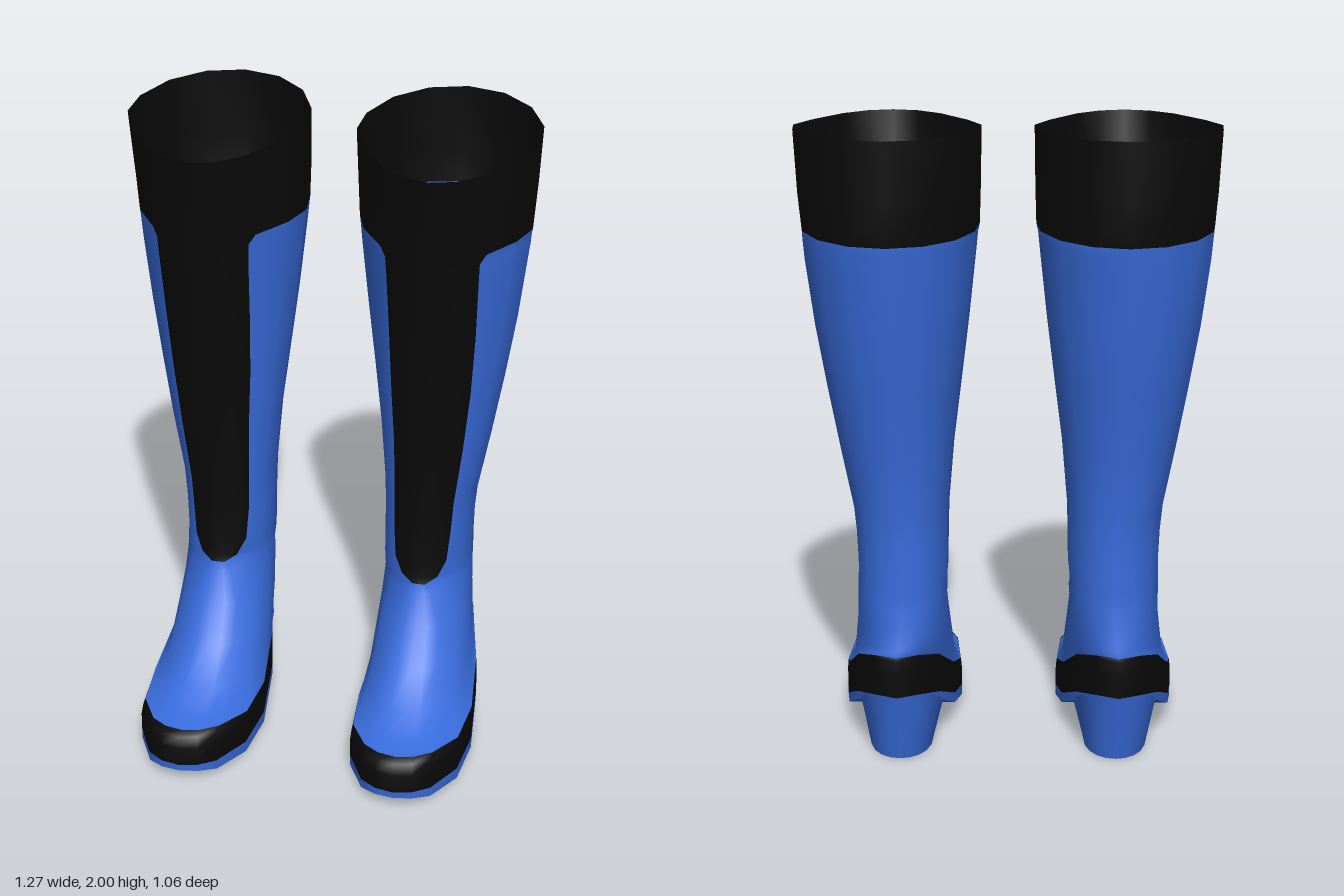
import * as THREE from 'three';

const blue = new THREE.MeshStandardMaterial({ color: 0x3a6ee0, side: THREE.DoubleSide });
blue.name = 'blue leather';
const black = new THREE.MeshStandardMaterial({ color: 0x0a0a0a, side: THREE.DoubleSide });
black.name = 'black trim';

const FRONT = 4, REST = 12; // columns across the front panel and around the rest

// Piecewise-linear height along the foot, points sorted by falling z
function curve(points) {
  return (z) => {
    if (z >= points[0][0]) return points[0][1];
    for (let i = 1; i < points.length; i++) {
      const [z0, y0] = points[i - 1], [z1, y1] = points[i];
      if (z >= z1) return y0 + (y1 - y0) * (z0 - z) / (z0 - z1);
    }
    return points[points.length - 1][1];
  };
}
const soleBottom = curve([[0.53, 0.04], [0.45, 0.018], [0.3, 0.008], [0.1, 0.006], [0.05, 0.025], [-0.14, 0.11], [-0.3, 0.2], [-0.39, 0.22]]);
const weltBottom = curve([[0.53, 0.062], [0.4, 0.05], [0.15, 0.042], [0, 0.08], [-0.15, 0.15], [-0.3, 0.22], [-0.39, 0.232]]);
const weltTop = curve([[0.48, 0.165], [0.42, 0.16], [0.3, 0.142], [0.15, 0.142], [0, 0.18], [-0.15, 0.27], [-0.29, 0.35], [-0.39, 0.362]]);

// One closed cross-section; a is the half angle of the front panel columns
function ring({ x0, x1, zf, zb, a = 0.5, p = 1, k = 0, flat = 1, y }, m) {
  const cx = m * (x0 + x1) / 2, rx = flat * (x1 - x0) / 2;
  const zc = (zf + zb) / 2, rz = (zf - zb) / 2, points = [];
  for (let i = 0; i < FRONT + REST; i++) {
    const u = i < FRONT ? -a + (2 * a * i) / FRONT
      : a + ((2 * Math.PI - 2 * a) * (i - FRONT)) / REST;
    const c = Math.cos(u);
    const z = zc + rz * (c > 0 ? Math.pow(c, p) : c);
    const widen = 1 + k * c * (c > 0 ? 1 : 0.4);
    points.push([cx + rx * Math.sin(u) * widen, y(z, c), z]);
  }
  return points;
}

// Skin rows of points; pick(row, column) chooses material 0 or 1
function loft(name, rows, materials, closed = true, pick = () => 0) {
  const n = rows[0].length, faces = [[], []];
  for (let j = 0; j < rows.length - 1; j++) {
    for (let i = 0; i < (closed ? n : n - 1); i++) {
      const k = (i + 1) % n, a = j * n + i, b = j * n + k;
      faces[pick(j, i)].push(a, b, b + n, a, b + n, a + n);
    }
  }
  const geometry = new THREE.BufferGeometry();
  geometry.setAttribute('position', new THREE.Float32BufferAttribute(rows.flat(2), 3));
  geometry.setIndex([...faces[0], ...faces[1]]);
  geometry.computeVertexNormals();
  if (faces[1].length) {
    geometry.addGroup(0, faces[0].length, 0);
    geometry.addGroup(faces[0].length, faces[1].length, 1);
  }
  const mesh = new THREE.Mesh(geometry, materials);
  mesh.name = name;
  return mesh;
}

// Foot rows: x0, x1, front z, back z, blend from welt line to level ankle, heel taper
const FOOT = [
  [0.165, 0.52, 0.485, -0.38, 0, 0.3],
  [0.17, 0.51, 0.42, -0.38, 0.03, 0.28],
  [0.178, 0.492, 0.3, -0.375, 0.167, 0.22],
  [0.182, 0.483, 0.19, -0.364, 0.42, 0.12],
  [0.188, 0.474, 0.105, -0.356, 0.71, 0.05],
];
// Shaft rows: y, x0, x1, front z, back z, panel half angle, front sharpness
const SHAFT = [
  [0.5, 0.19, 0.47, 0.055, -0.35, 0.3, 1],
  [0.528, 0.189, 0.47, 0.045, -0.347, 0.15, 1],
  [0.55, 0.188, 0.47, 0.04, -0.346, 0.42, 1],
  [0.6, 0.186, 0.47, 0.035, -0.345, 0.62, 1],
  [0.7, 0.185, 0.473, 0.03, -0.345, 0.68, 1],
  [0.8, 0.182, 0.482, 0.028, -0.35, 0.68, 1],
  [1, 0.165, 0.52, 0.033, -0.376, 0.66, 1],
  [1.2, 0.14, 0.555, 0.05, -0.42, 0.64, 1.1],
  [1.4, 0.115, 0.587, 0.075, -0.462, 0.6, 1.2],
  [1.6, 0.093, 0.612, 0.11, -0.5, 0.57, 1.3],
  [1.66, 0.087, 0.617, 0.12, -0.51, 0.57, 1.35],
  [1.687, 0.083, 0.62, 0.126, -0.515, 0.64, 1.4],
  [1.8, 0.079, 0.63, 0.147, -0.525, 0.6, 1.5],
  [1.98, 0.075, 0.64, 0.185, -0.527, 0.55, 1.6],
];
const PANEL_ROW = FOOT.length + 1, CUFF_ROW = FOOT.length + 11;

function makeBoot(m) {
  const boot = new THREE.Group();
  boot.name = m > 0 ? 'leftBoot' : 'rightBoot';

  // Upper with the front panel and the cuff
  const rows = FOOT.map(([x0, x1, zf, zb, w, k]) =>
    ring({ x0, x1, zf, zb, k, y: (z) => weltTop(z) * (1 - w) + 0.5 * w }, m));
  SHAFT.forEach(([h, x0, x1, zf, zb, a, p], i) => {
    const tilt = i === SHAFT.length - 1 ? 0.02 : 0;
    rows.push(ring({ x0, x1, zf, zb, a, p, y: (z, c) => h - tilt * c }, m));
  });
  boot.add(loft('upper', rows, [blue, black], true,
    (j, i) => (j >= CUFF_ROW || (j >= PANEL_ROW && i < FRONT) ? 1 : 0)));

  // Black welt around the foot
  const outline = { x0: 0.162, x1: 0.525, zf: 0.53, zb: -0.387, k: 0.3 };
  const low = ring({ ...outline, y: weltBottom }, m);
  boot.add(loft('welt', [
    low,
    ring({ ...outline, y: (z) => weltBottom(z) * 0.4 + weltTop(z) * 0.6 }, m),
    ring({ ...outline, x0: 0.164, x1: 0.522, zf: 0.512, zb: -0.384, y: (z) => weltTop(z) - 0.01 }, m),
    rows[0],
  ], black));

  // Sole edge, underside and insole
  const edge = { ...outline, zf: 0.527, zb: -0.383, y: soleBottom };
  const bottom = ring(edge, m);
  boot.add(loft('soleEdge', [bottom, low], blue));
  boot.add(loft('soleUnderside', [ring({ ...edge, flat: 0 }, m), bottom], blue));
  boot.add(loft('insole', [low, ring({ ...outline, flat: 0, y: weltBottom }, m)], blue));

  // D-shaped heel block: rounded back, flat front, flat base
  const cx = m * 0.338, zFront = -0.145;
  const heelRow = (half, depth, y) => Array.from({ length: 11 }, (_, i) => {
    const v = Math.PI / 2 - (Math.PI * i) / 10;
    const z = zFront - depth * Math.pow(Math.max(0, Math.cos(v)), 0.75);
    return [cx + half * Math.sin(v), y(z), z];
  });
  const base = heelRow(0.1, 0.18, () => 0);
  const top = heelRow(0.13, 0.238, (z) => soleBottom(z) + 0.008);
  boot.add(loft('heelBack', [base, top], blue, false));
  boot.add(loft('heelFront', [[base[10], base[0]], [top[10], top[0]]], blue, false));
  boot.add(loft('heelBase', [base.map(([, y, z]) => [cx, y, z]), base], blue, false));
  return boot;
}

export function createModel() {
  const model = new THREE.Group();
  model.name = 'pairOfBoots';
  for (const m of [1, -1]) model.add(makeBoot(m));
  return model;
}
